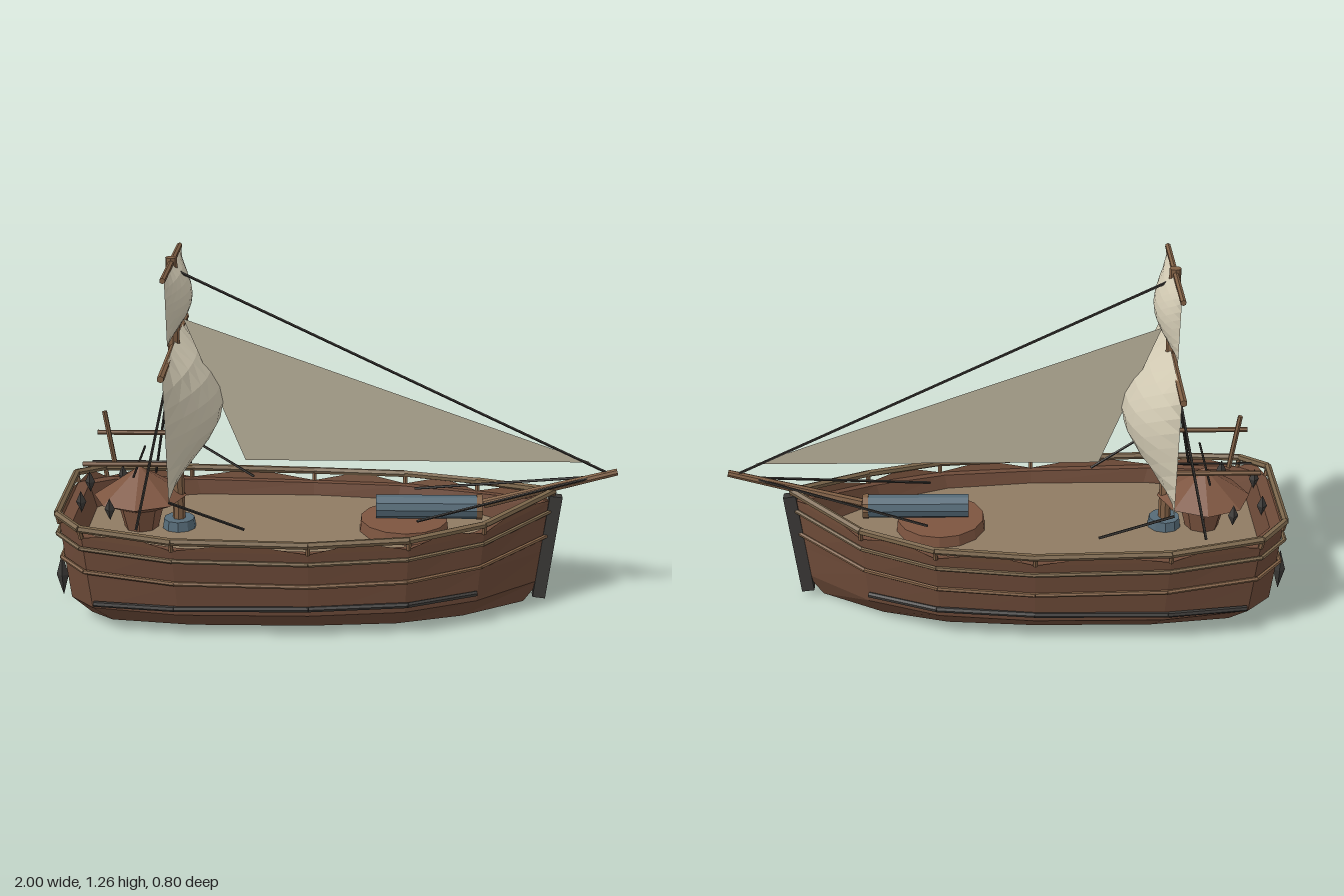
import * as THREE from 'three';

const mat = (color, side = THREE.FrontSide) =>
  new THREE.MeshStandardMaterial({ color, flatShading: true, side });
const M = {
  hull: mat(0x6e4b39), deck: mat(0x8f7b63), wood: mat(0x806045), rail: mat(0x7a654a),
  roof: mat(0x7d5540), iron: mat(0x3b3937), rope: mat(0x33302d), gun: mat(0x566b78),
  sail: mat(0xd3cbb4, THREE.DoubleSide), jib: mat(0xbab29c, THREE.DoubleSide),
  panel: mat(0x75503b, THREE.DoubleSide),
};

// Half outline from stern to bow: x, half width, sheer height
const HALF = [
  [-0.94, 0.2, 0.37], [-0.85, 0.3, 0.355], [-0.54, 0.36, 0.335], [-0.08, 0.36, 0.325],
  [0.26, 0.318, 0.33], [0.52, 0.207, 0.345], [0.77, 0, 0.39],
];
const RING = [...HALF, ...HALF.slice(0, -1).reverse().map(([x, z, y]) => [x, -z, y])];
const V = (x, y, z) => new THREE.Vector3(x, y, z);

// Topside point at a height, pushed outward by a small margin
function sidePoint([x, z], y, out = 0) {
  const k = 0.91 + 0.09 * Math.min(1, Math.max(0, (y - 0.09) / 0.25));
  const sx = 0.97 + 0.03 * Math.min(1, Math.max(0, (y - 0.09) / 0.25));
  return V((x + 0.09) * sx - 0.09 + Math.sign(x + 0.09) * out * (Math.abs(x) > 0.7 ? 1 : 0),
    y, z * k + Math.sign(z) * out);
}

function add(group, name, geometry, material) {
  const mesh = new THREE.Mesh(geometry, material);
  mesh.name = name;
  group.add(mesh);
  return mesh;
}

// Skin a list of closed rings
function loft(rings) {
  const pos = [];
  const n = rings[0].length;
  for (let j = 0; j < rings.length - 1; j++) {
    for (let i = 0; i < n; i++) {
      const k = (i + 1) % n;
      const a = rings[j][i], b = rings[j][k], c = rings[j + 1][k], d = rings[j + 1][i];
      for (const p of [a, b, c, a, c, d]) pos.push(p.x, p.y, p.z);
    }
  }
  const g = new THREE.BufferGeometry();
  g.setAttribute('position', new THREE.Float32BufferAttribute(pos, 3));
  g.computeVertexNormals();
  return g;
}

// Round bar between two points
function bar(group, name, a, b, r, material, sides = 6, r2 = r) {
  const dir = b.clone().sub(a);
  const mesh = add(group, name, new THREE.CylinderGeometry(r2, r, dir.length(), sides), material);
  mesh.position.copy(a).add(b).multiplyScalar(0.5);
  mesh.quaternion.setFromUnitVectors(V(0, 1, 0), dir.normalize());
  return mesh;
}

// Bars following a list of points
function chain(group, name, pts, r, material, closed) {
  const part = new THREE.Group();
  part.name = name;
  const n = closed ? pts.length : pts.length - 1;
  for (let i = 0; i < n; i++) bar(part, name + 'Section', pts[i], pts[(i + 1) % pts.length], r, material);
  group.add(part);
}

// Square sail billowing toward the bow
function squareSail(group, name, yLow, yTop, wLow, wTop, depth, lift) {
  const g = new THREE.PlaneGeometry(2, 1, 10, 8);
  const p = g.attributes.position;
  for (let i = 0; i < p.count; i++) {
    const u = p.getX(i), v = p.getY(i) + 0.5, belly = 1 - u * u;
    p.setXYZ(i, -0.545 + depth * Math.pow(Math.max(0, Math.sin(Math.PI * v)), 0.85) * belly,
      yLow + (yTop - yLow) * v + lift * belly, -u * (wLow + (wTop - wLow) * v));
  }
  g.computeVertexNormals();
  add(group, name, g, M.sail);
}

function buildHull(ship) {
  const center = (y) => RING.map(() => V(-0.1, y, 0));
  const bottom = RING.map(([x, z]) => V((x + 0.1) * 0.9 - 0.1, 0, z * 0.62));
  const inner = (y, k) => RING.map(([x, z, s]) => V((x + 0.09) * (k + 0.03) - 0.09, y ?? s, z * k));
  add(ship, 'hull', loft([
    center(0), bottom,
    RING.map((p) => sidePoint(p, 0.085)),
    RING.map((p) => sidePoint(p, 0.2)),
    RING.map((p) => sidePoint(p, p[2])),
    inner(undefined, 0.92), inner(0.28, 0.89),
  ]), M.hull);
  add(ship, 'deck', loft([inner(0.28, 0.9), center(0.28)]), M.deck);

  // Rails and rubbing strakes
  const railPts = RING.map((p) => sidePoint(p, p[2] + 0.036, 0.006));
  chain(ship, 'topRail', railPts, 0.013, M.rail, true);
  chain(ship, 'upperStrake', RING.map((p) => sidePoint(p, p[2] - 0.036, 0.008)), 0.008, M.rail, true);
  chain(ship, 'middleStrake', RING.map((p) => sidePoint(p, p[2] * 0.9 - 0.09, 0.008)), 0.008, M.wood, true);
  for (const s of [1, -1]) {
    const low = [[-0.82, 0.292], [-0.54, 0.335], [-0.08, 0.335], [0.26, 0.3], [0.5, 0.205]];
    chain(ship, 'lowerStrake', low.map(([x, z], i) => V(x, 0.108 + i * 0.003, s * z)), 0.01, M.iron);
  }

  // Peaked bulwark panels and posts under the rail
  RING.forEach((p, i) => {
    const a = sidePoint(p, p[2]), q = RING[(i + 1) % RING.length], b = sidePoint(q, q[2]);
    const top = railPts[i].clone().add(railPts[(i + 1) % RING.length]).multiplyScalar(0.5);
    const g = new THREE.BufferGeometry().setFromPoints([a, b, top]);
    g.computeVertexNormals();
    add(ship, 'bulwarkPanel', g, M.panel);
    bar(ship, 'railPost', a, railPts[i], 0.009, M.wood);
  });

  // Stem post and stern pendant
  const stem = add(ship, 'stemPost', new THREE.BoxGeometry(0.045, 0.39, 0.036), M.iron);
  stem.position.set(0.76, 0.215, 0);
  stem.rotation.z = -0.12;
  const pendant = add(ship, 'sternPendant', new THREE.OctahedronGeometry(1), M.iron);
  pendant.scale.set(0.022, 0.08, 0.016);
  pendant.position.set(-0.978, 0.09, 0);
}

function buildRig(ship) {
  bar(ship, 'mast', V(-0.55, 0.28, 0), V(-0.55, 1.26, 0), 0.022, M.wood, 8, 0.02);
  const ring = add(ship, 'mastCollar', new THREE.CylinderGeometry(0.055, 0.06, 0.035, 10), M.gun);
  ring.position.set(-0.55, 0.297, 0);
  bar(ship, 'mainYard', V(-0.55, 0.95, -0.4), V(-0.55, 0.95, 0.4), 0.012, M.wood);
  bar(ship, 'topYard', V(-0.55, 1.242, -0.265), V(-0.55, 1.242, 0.265), 0.01, M.wood);
  squareSail(ship, 'mainSail', 0.5, 0.945, 0.335, 0.392, 0.16, 0.024);
  squareSail(ship, 'topSail', 1.01, 1.238, 0.235, 0.262, 0.062, 0);

  // Triangular fore sail on the centreline
  const tri = new THREE.Shape([[-0.515, 1.045], [-0.31, 0.533], [0.9, 0.533]].map((p) => new THREE.Vector2(...p)));
  add(ship, 'jibSail', new THREE.ShapeGeometry(tri), M.jib);

  bar(ship, 'bowsprit', V(0.53, 0.375, 0), V(0.995, 0.498, 0), 0.018, M.wood, 8, 0.013);
  bar(ship, 'forestay', V(-0.545, 1.22, 0), V(0.96, 0.495, 0), 0.005, M.rope, 5);
  for (const s of [1, -1]) {
    bar(ship, 'shroud', V(-0.55, 0.95, 0), V(-0.665, 0.38, s * 0.285), 0.005, M.rope, 5);
    bar(ship, 'sheetRope', V(-0.545, 0.5, s * 0.335), V(-0.3, 0.375, s * 0.26), 0.005, M.rope, 5);
    bar(ship, 'bowspritStay', V(0.29, 0.37, s * 0.16), V(0.92, 0.48, 0), 0.005, M.rope, 5);
  }
}

function buildFittings(ship) {
  // Gun on its round platform
  const base = add(ship, 'gunPlatform', new THREE.CylinderGeometry(0.155, 0.16, 0.04, 14), M.roof);
  base.position.set(0.25, 0.3, 0);
  bar(ship, 'gunBarrel', V(0.15, 0.362, 0), V(0.51, 0.362, 0), 0.042, M.gun, 10);
  bar(ship, 'gunMuzzle', V(0.505, 0.362, 0), V(0.525, 0.362, 0), 0.045, M.wood, 10);

  // Peaked canopy at the stern
  const profile = [[0.06, 0.28], [0.08, 0.36], [0.165, 0.4], [0.001, 0.508]];
  const canopy = add(ship, 'sternCanopy',
    new THREE.LatheGeometry(profile.map((p) => new THREE.Vector2(...p)), 8), M.roof);
  canopy.position.set(-0.685, 0, 0);

  // Light frame and steering pole above the canopy
  for (const s of [1, -1]) {
    bar(ship, 'canopyBar', V(-0.855, 0.575, s * 0.167), V(-0.56, 0.575, s * 0.167), 0.009, M.wood);
    for (const [x, z] of [[-0.77, 0.17], [-0.88, 0.1]]) {
      const lamp = add(ship, 'lamp', new THREE.OctahedronGeometry(1), M.iron);
      lamp.scale.set(0.018, 0.04, 0.018);
      lamp.position.set(x, 0.41, s * z);
    }
  }
  bar(ship, 'steeringPole', V(-0.77, 0.51, 0), V(-0.8, 0.71, 0), 0.009, M.wood);
  bar(ship, 'canopyCrossbar', V(-0.85, 0.525, 0), V(-0.5, 0.525, 0), 0.004, M.rope);
  bar(ship, 'canopyCrossbar', V(-0.685, 0.525, -0.16), V(-0.685, 0.525, 0.16), 0.004, M.rope);
}

export function createModel() {
  const ship = new THREE.Group();
  ship.name = 'sailingShip';
  buildHull(ship);
  buildRig(ship);
  buildFittings(ship);
  return ship;
}
